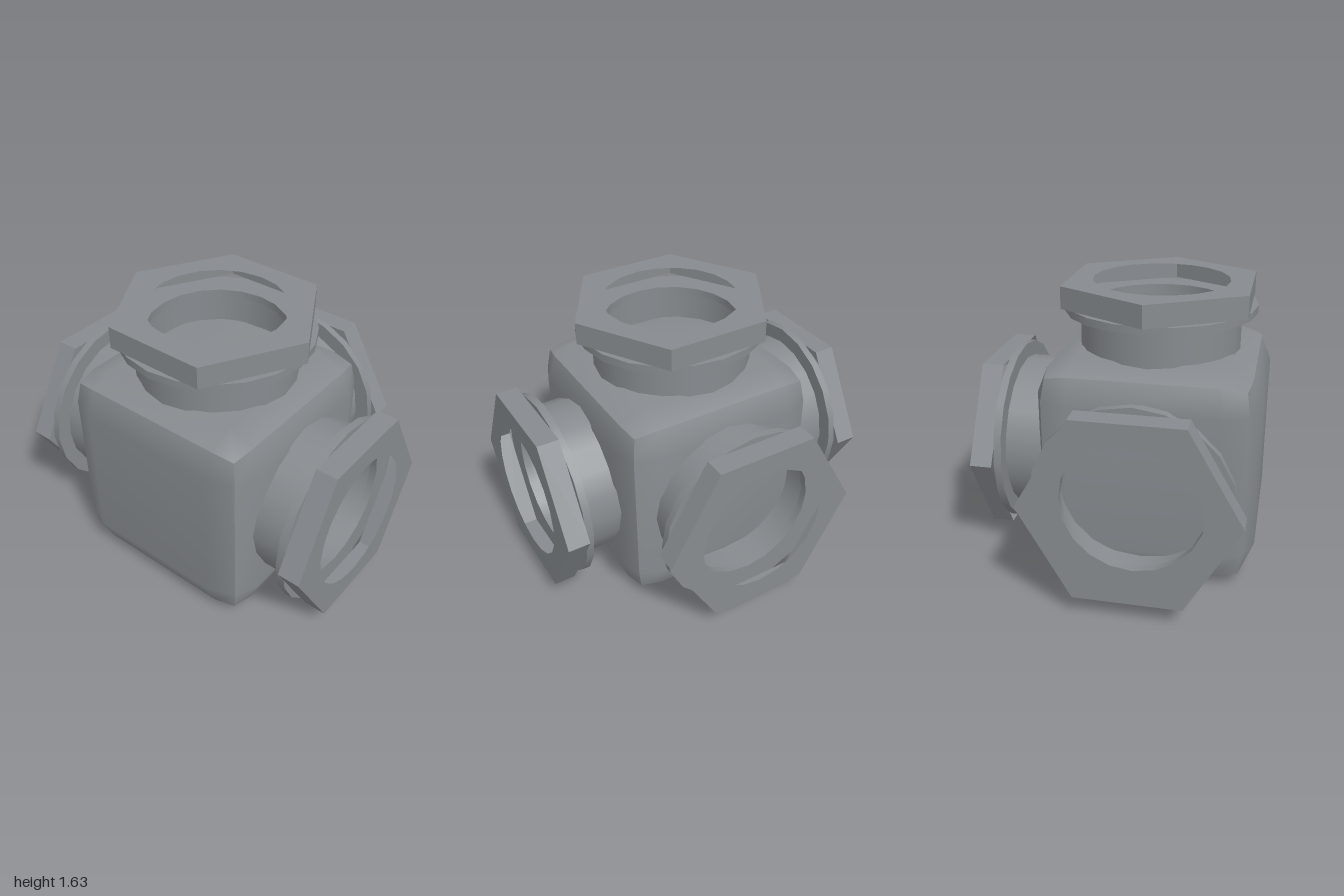
import * as THREE from 'three';

const SEG = 20;

// One bulged cube side facing +z: flat centre, sloping margins, pulled-in corners
function bulgedSide() {
  const g = new THREE.PlaneGeometry(3, 3, 3, 3);
  const p = g.attributes.position;
  const level = [0.42, 0.57];
  for (let i = 0; i < p.count; i++) {
    const x = p.getX(i), y = p.getY(i);
    const ex = Math.abs(x) > 1, ey = Math.abs(y) > 1;
    if (ex && ey) p.setXYZ(i, Math.sign(x) * 0.55, Math.sign(y) * 0.55, 0.55);
    else p.setXYZ(i, Math.sign(x) * level[+ex], Math.sign(y) * level[+ey], ex || ey ? 0.57 : 0.63);
  }
  g.computeVertexNormals();
  return g;
}

// Flat ring facing +y with any number of outer sides
function ring(outer, inner, sides) {
  const points = (r, n) => Array.from({ length: n }, (_, i) => {
    const a = (i / n) * Math.PI * 2;
    return new THREE.Vector2(Math.sin(a) * r, Math.cos(a) * r);
  });
  const shape = new THREE.Shape(points(outer, sides));
  shape.holes.push(new THREE.Path(points(inner, SEG)));
  return new THREE.ShapeGeometry(shape).rotateX(-Math.PI / 2);
}

// Open tube wall along y between two heights
function wall(r, y0, y1, sides) {
  return new THREE.CylinderGeometry(r, r, y1 - y0, sides, 1, true).translate(0, (y0 + y1) / 2, 0);
}

export function createModel() {
  const metal = new THREE.MeshStandardMaterial({ color: 0x878b8f, side: THREE.DoubleSide });
  metal.name = 'grey metal';
  const model = new THREE.Group();
  model.name = 'pipeJunction';

  const add = (parent, name, geometry) => {
    const mesh = new THREE.Mesh(geometry, metal);
    mesh.name = name;
    parent.add(mesh);
    return mesh;
  };

  // Cube body
  const body = new THREE.Group();
  body.name = 'body';
  model.add(body);
  const side = bulgedSide();
  const q = Math.PI / 2;
  [[0, 0], [0, q], [0, 2 * q], [0, -q], [q, 0], [-q, 0]].forEach(([rx, ry]) => {
    add(body, 'bodySide', side).rotation.set(rx, ry, 0);
  });

  // Port parts, built along +y
  const neck = wall(0.465, 0.57, 0.828, SEG);
  const collarWall = wall(0.555, 0.828, 0.872, SEG);
  const collarBore = wall(0.395, 0.828, 0.872, SEG);
  const collarBottom = ring(0.555, 0.395, SEG).rotateX(Math.PI).translate(0, 0.828, 0);
  const collarTop = ring(0.555, 0.395, SEG).translate(0, 0.872, 0);
  const nutWall = wall(0.597, 0.872, 1, 6).toNonIndexed();
  nutWall.computeVertexNormals();
  const nutFace = ring(0.597, 0.395, 6).translate(0, 1, 0);

  // Four ports: top, left, front and back
  const ports = {
    topPort: [0, 0, 0],
    leftPort: [0, 0, -q],
    frontPort: [q, q, 0],
    backPort: [-q, q, 0],
  };
  for (const [name, turn] of Object.entries(ports)) {
    const port = new THREE.Group();
    port.name = name;
    port.rotation.set(...turn);
    add(port, 'neck', neck);
    add(port, 'collarWall', collarWall);
    add(port, 'collarBore', collarBore);
    add(port, 'collarBottom', collarBottom);
    add(port, 'collarTop', collarTop);
    add(port, 'nutWall', nutWall);
    add(port, 'nutFace', nutFace);
    model.add(port);
  }

  // Offset so the whole piece is centred and stands on the ground
  model.children.forEach((part) => part.position.set(-0.185, 0.637, 0));
  return model;
}
